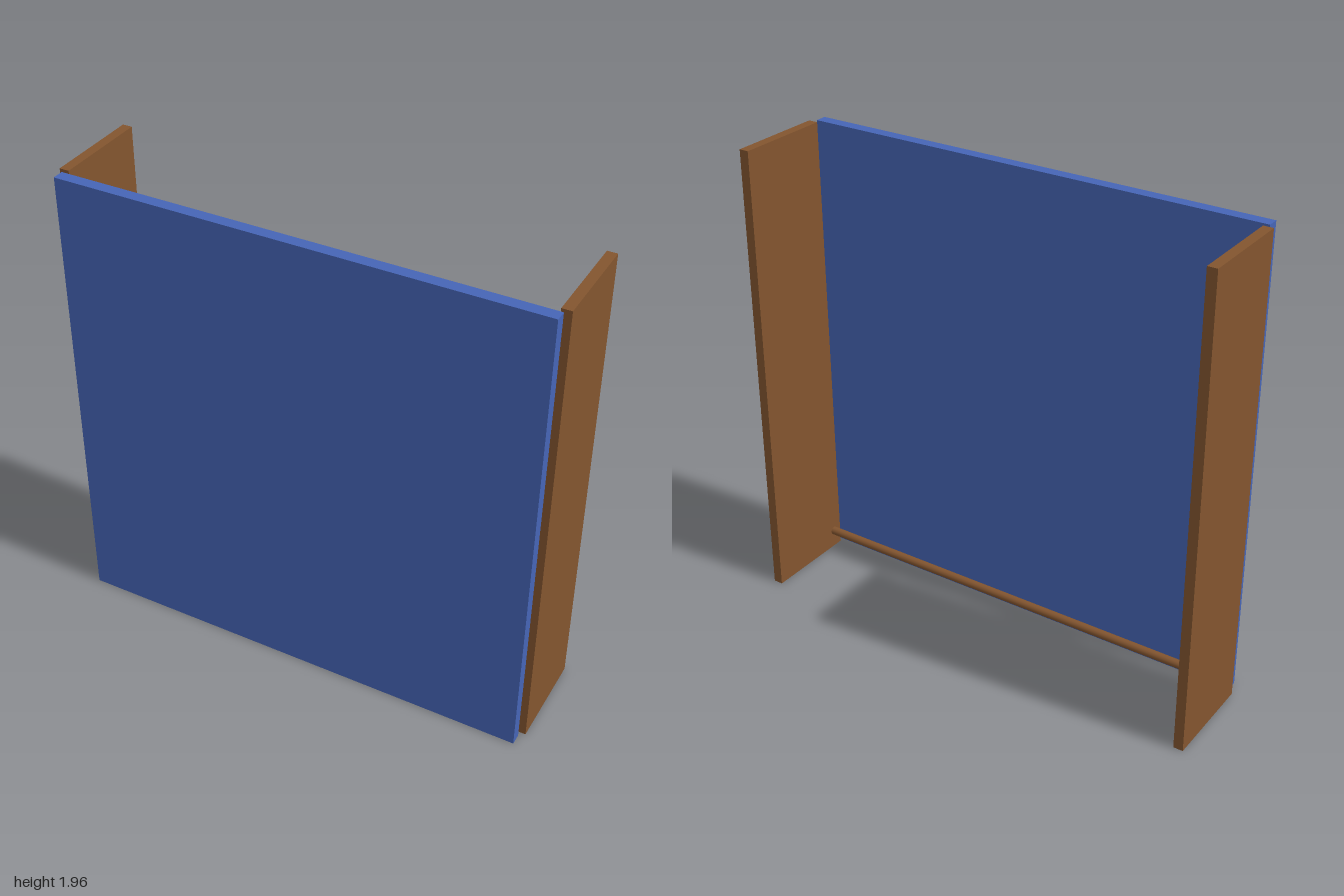
import * as THREE from 'three';

export function createModel() {
  const model = new THREE.Group();
  const wood = new THREE.MeshStandardMaterial({ color: 0x83552f });
  wood.name = 'brown wood';
  const blue = new THREE.MeshStandardMaterial({ color: 0x4665b6 });
  blue.name = 'blue panel';
  const height = 1.96;

  const add = (name, geometry, material, x, y, z) => {
    const mesh = new THREE.Mesh(geometry, material);
    mesh.name = name;
    mesh.position.set(x, y, z);
    model.add(mesh);
    return mesh;
  };

  // Front panel, standing slightly clear of the sides
  add('frontPanel', new THREE.BoxGeometry(1.954, height, 0.048), blue, 0, height / 2, 0.213);

  // Side boards
  for (const [name, s] of [['leftSide', 1], ['rightSide', -1]]) {
    add(name, new THREE.BoxGeometry(0.04, height, 0.407), wood, s * 0.98, height / 2, -0.0335);
  }

  // Round rail between the sides, near the floor
  const rail = new THREE.CylinderGeometry(0.018, 0.018, 1.92, 12).rotateZ(Math.PI / 2);
  add('bottomRail', rail, wood, 0, 0.078, 0.128);

  return model;
}
